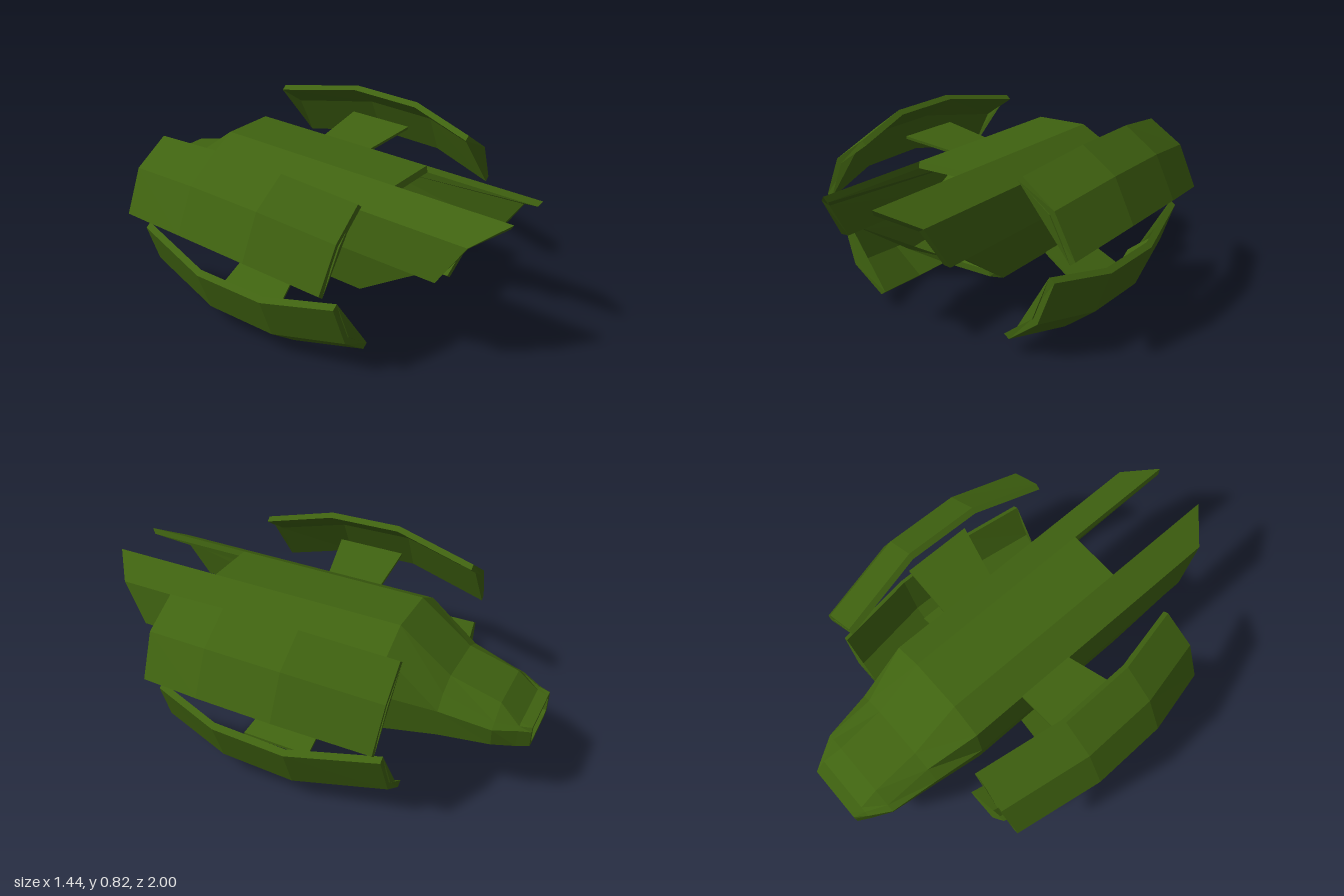
import * as THREE from 'three';

const green = new THREE.MeshStandardMaterial({ color: 0x3f6210, flatShading: true, side: THREE.DoubleSide });
green.name = 'dark green';

// Ring from a half profile (top, shoulder, middle, lower, bottom), counter-clockwise seen from +z.
// z is one value or seven, as the top and middle points occur twice.
const order = [0, 0, 1, 2, 2, 3, 4];
function ring(profile, z) {
  const half = order.map((p, i) => [profile[p][0], profile[p][1], Array.isArray(z) ? z[i] : z]);
  return [...half.map(([x, y, d]) => [-x, y, d]), ...half.reverse()];
}

// Skin running through closed rings, with optional flat ends
function skin(name, rings, capStart = false, capEnd = false) {
  const pos = [];
  const v = (p) => new THREE.Vector3(...p);
  const tri = (a, b, c) => {
    const area = v(b).sub(v(a)).cross(v(c).sub(v(a))).length();
    if (area > 1e-7) pos.push(...a, ...b, ...c);
  };
  for (let r = 0; r < rings.length - 1; r++) {
    const A = rings[r], B = rings[r + 1], n = A.length;
    for (let i = 0; i < n; i++) {
      const j = (i + 1) % n;
      tri(B[j], B[i], A[i]);
      tri(B[j], A[i], A[j]);
    }
  }
  const first = rings[0], last = rings[rings.length - 1];
  for (let i = 1; i < first.length - 1; i++) {
    if (capStart) tri(first[0], first[i + 1], first[i]);
    if (capEnd) tri(last[0], last[i], last[i + 1]);
  }
  const g = new THREE.BufferGeometry();
  g.setAttribute('position', new THREE.Float32BufferAttribute(pos, 3));
  g.computeVertexNormals();
  const mesh = new THREE.Mesh(g, green);
  mesh.name = name;
  return mesh;
}

// Curved wing panel: section points pulled in towards the hull at both ends
function wing(name, pts, pull, thick, side) {
  const rows = [[-0.53, 1], [-0.14, 0], [0.2, 0.07], [0.51, 1]];
  const rings = rows.map(([z, k]) => {
    const at = ([x, y], t, i) => [
      side * (x + pull[0] * k + thick[0] * t),
      y + pull[1] * k + thick[1] * t,
      z + (k === 1 && i === 1 ? Math.sign(z) * 0.01 : 0),
    ];
    const loop = [...pts.map((p, i) => at(p, 0, i)), ...pts.map((p, i) => at(p, 1, i)).reverse()];
    // Keep the loop counter-clockwise for either side
    const area = loop.reduce((s, p, i) => {
      const q = loop[(i + 1) % loop.length];
      return s + p[0] * q[1] - q[0] * p[1];
    }, 0);
    return area < 0 ? loop.reverse() : loop;
  });
  return skin(name, rings, true, true);
}

// Thin strut plate between hull and wing, wider at the wing
function strut(name, [x0, y0], [x1, y1], side) {
  const s = new THREE.Shape([[x0, 0.16], [x1, 0.16], [x1, -0.155], [x0, -0.1]].map(([x, y]) => new THREE.Vector2(x, y)));
  const g = new THREE.ExtrudeGeometry(s, { depth: 0.012, bevelEnabled: false });
  g.rotateX(-Math.PI / 2);
  // Slope the plate along its length
  const p = g.attributes.position;
  for (let i = 0; i < p.count; i++) {
    const t = (p.getX(i) - x0) / (x1 - x0);
    p.setY(i, p.getY(i) - 0.006 + y0 + (y1 - y0) * t);
  }
  if (side < 0) g.rotateY(Math.PI).scale(1, 1, -1);
  if (side < 0) {
    // Restore the face order after mirroring
    for (let i = 0; i < p.count; i += 3) {
      const b = [p.getX(i + 1), p.getY(i + 1), p.getZ(i + 1)];
      p.setXYZ(i + 1, p.getX(i + 2), p.getY(i + 2), p.getZ(i + 2));
      p.setXYZ(i + 2, ...b);
    }
  }
  g.computeVertexNormals();
  const mesh = new THREE.Mesh(g, green);
  mesh.name = name;
  return mesh;
}

export function createModel() {
  const model = new THREE.Group();
  model.name = 'spacecraft';

  const hull = [[0.12, 0.715], [0.255, 0.64], [0.28, 0.46], [0.255, 0.275], [0.12, 0.21]];
  const lip = [[0.113, 0.69], [0.225, 0.622], [0.245, 0.46], [0.222, 0.295], [0.11, 0.237]];
  const well = [[0.12, 0.637], [0.2, 0.6], [0.212, 0.475], [0.2, 0.34], [0.12, 0.285]];
  const tip = [[0.13, 0.482], [0.144, 0.48], [0.147, 0.475], [0.144, 0.47], [0.13, 0.468]];
  const nozzle = [[0.1, 0.41], [0.13, 0.41], [0.135, 0.39], [0.132, 0.315], [0.1, 0.305]];
  const nozzleInner = nozzle.map(([x, y]) => [x * 0.86, 0.357 + (y - 0.357) * 0.76]);

  // Main hull: the forward edge forms two prongs around a notch
  const edge = [0.48, 1, 0.89, 0.78, 0.69, 0.42, 0.33];
  const innerEdge = [0.49, 0.985, 0.88, 0.775, 0.69, 0.42, 0.33];
  model.add(skin('hull', [ring(hull, -0.41), ring(hull, edge), ring(lip, innerEdge), ring(well, 0.15)]));
  model.add(skin('innerCore', [ring(well, 0.15), ring(tip, 0.49)], false, true));

  // Tapered cabin with a recessed opening at the end
  model.add(skin('cabin', [
    ring(nozzleInner, -0.9),
    ring(nozzleInner, -1),
    ring(nozzle, -1),
    ring([[0.12, 0.412], [0.145, 0.41], [0.165, 0.4], [0.16, 0.318], [0.11, 0.296]], -0.95),
    ring([[0.12, 0.48], [0.19, 0.43], [0.22, 0.41], [0.205, 0.325], [0.12, 0.285]], -0.86),
    ring([[0.12, 0.54], [0.2, 0.502], [0.25, 0.445], [0.23, 0.31], [0.12, 0.258]], -0.64),
    ring(hull, -0.41),
  ], true));

  // Four wing panels and their struts
  for (const side of [1, -1]) {
    const label = side > 0 ? 'left' : 'right';
    model.add(wing(label + 'UpperWing', [[0.485, 0.825], [0.632, 0.723], [0.72, 0.54]], [-0.075, -0.064], [-0.022, -0.018], side));
    model.add(wing(label + 'LowerWing', [[0.425, 0.005], [0.567, 0.118], [0.635, 0.308]], [-0.078, 0.06], [-0.024, 0.018], side));
    model.add(strut(label + 'UpperStrut', [0.24, 0.633], [0.485, 0.681], side));
    model.add(strut(label + 'LowerStrut', [0.24, 0.28], [0.46, 0.178], side));
  }
  return model;
}
